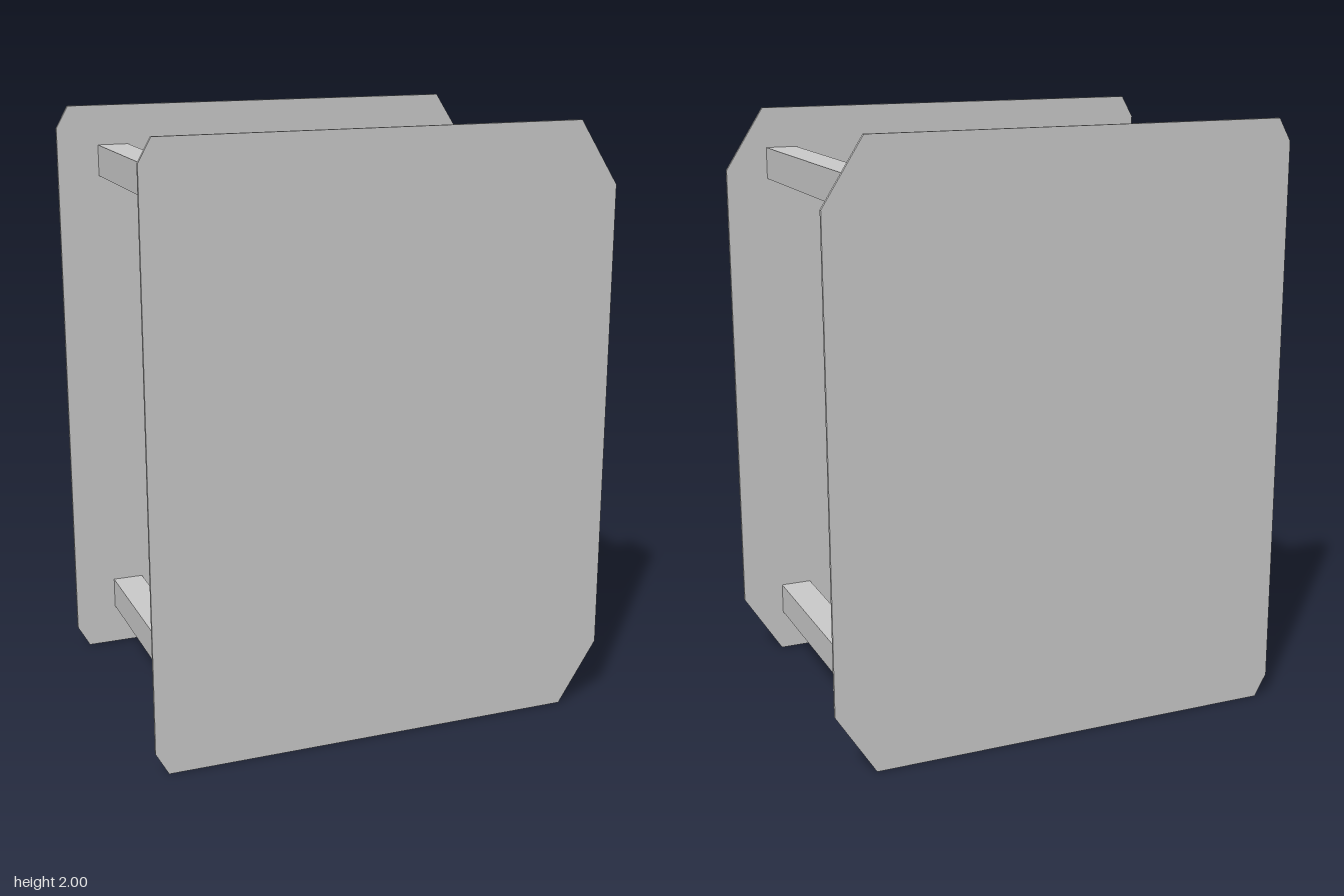
import * as THREE from 'three';

export function createModel() {
  const model = new THREE.Group();
  const material = new THREE.MeshStandardMaterial({ color: 0xcccccc, flatShading: true });
  const outer = 0.542, thickness = 0.011, inner = outer - thickness;

  // Plate outline: small corner cuts on the -x edge, large ones on the +x edge
  const outline = new THREE.Shape([
    [-0.745, 0], [0.653, 0], [0.787, 0.21], [0.787, 1.79],
    [0.653, 2], [-0.745, 2], [-0.787, 1.925], [-0.787, 0.075],
  ].map(([x, y]) => new THREE.Vector2(x, y)));
  const plateGeometry = new THREE.ExtrudeGeometry(outline, { depth: thickness, bevelEnabled: false });

  for (const [name, z] of [['frontPlate', inner], ['backPlate', -outer]]) {
    const plate = new THREE.Mesh(plateGeometry, material);
    plate.name = name;
    plate.position.z = z;
    model.add(plate);
  }

  // Four square bars joining the plates
  const barGeometry = new THREE.BoxGeometry(0.107, 0.107, inner * 2);
  for (const [side, x] of [['Left', 0.59], ['Right', -0.59]]) {
    for (const [level, y] of [['lower', 0.195], ['upper', 1.81]]) {
      const bar = new THREE.Mesh(barGeometry, material);
      bar.name = `${level}${side}Bar`;
      bar.position.set(x, y, 0);
      model.add(bar);
    }
  }
  return model;
}
